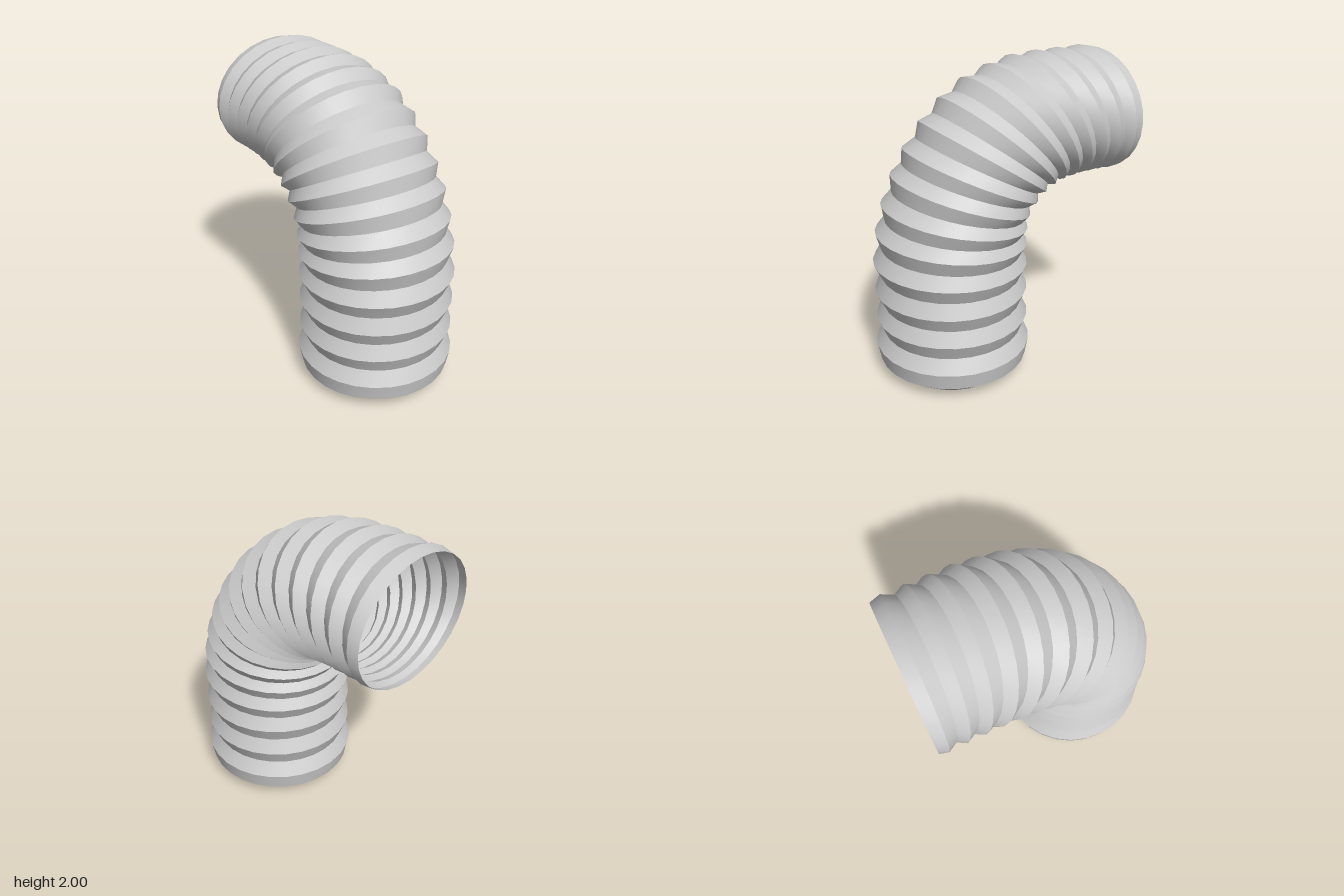
import * as THREE from 'three';
import { toCreasedNormals } from 'three/addons/utils/BufferGeometryUtils.js';

const SIDES = 28;
const lerp = THREE.MathUtils.lerp;

// Ridge ends in the bend plane as [z, y]: outside of the bend, inside of the bend
const RIDGES = [
  [[0.80, 0.19], [-0.20, 0.19]],
  [[0.79, 0.38], [-0.185, 0.38]],
  [[0.79, 0.57], [-0.18, 0.57]],
  [[0.795, 0.77], [-0.18, 0.735]],
  [[0.77, 0.965], [-0.175, 0.87]],
  [[0.72, 1.14], [-0.175, 0.97]],
  [[0.645, 1.32], [-0.185, 1.045]],
  [[0.555, 1.48], [-0.235, 1.11]],
  [[0.435, 1.64], [-0.29, 1.15]],
  [[0.29, 1.775], [-0.345, 1.175]],
  [[0.125, 1.885], [-0.405, 1.19]],
  [[-0.045, 1.95], [-0.475, 1.195]],
  [[-0.21, 1.99], [-0.545, 1.20]],
  [[-0.385, 2.0], [-0.615, 1.20]],
  [[-0.55, 2.0], [-0.69, 1.20]],
  [[-0.72, 2.0], [-0.765, 1.195]],
];

// An elliptical ring: two ends in the bend plane and a half width in x
const ring = (outer, inner, halfWidth) => ({
  outer: new THREE.Vector2(...outer), inner: new THREE.Vector2(...inner), halfWidth,
});

// A valley halfway between two ridges, drawn in toward the axis
function valley(a, b, t) {
  const outer = a.outer.clone().lerp(b.outer, 0.5);
  const inner = a.inner.clone().lerp(b.inner, 0.5);
  const sink = (p, d1, d2, sign, depth) => {
    const along = d2.clone().sub(d1).normalize();
    return p.add(new THREE.Vector2(-along.y, along.x).multiplyScalar(sign * depth));
  };
  sink(outer, a.outer, b.outer, 1, lerp(0.045, 0.027, t));
  sink(inner, a.inner, b.inner, -1, lerp(0.045, 0.015, t));
  return { outer, inner, halfWidth: lerp(0.447, 0.455, t) };
}

// Skin a row of rings
function loft(rings) {
  const pos = [], idx = [];
  for (const r of rings) {
    const c = r.outer.clone().add(r.inner).multiplyScalar(0.5);
    const u = r.outer.clone().sub(c);
    for (let j = 0; j < SIDES; j++) {
      const a = (j / SIDES) * Math.PI * 2;
      pos.push(r.halfWidth * Math.sin(a), c.y + u.y * Math.cos(a), c.x + u.x * Math.cos(a));
    }
  }
  for (let i = 0; i < rings.length - 1; i++) {
    for (let j = 0; j < SIDES; j++) {
      const k = (j + 1) % SIDES;
      const a = i * SIDES + j, b = i * SIDES + k;
      idx.push(a, b, b + SIDES, a, b + SIDES, a + SIDES);
    }
  }
  const g = new THREE.BufferGeometry();
  g.setAttribute('position', new THREE.Float32BufferAttribute(pos, 3));
  g.setIndex(idx);
  return toCreasedNormals(g, 0.35);
}

export function createModel() {
  const group = new THREE.Group();
  const material = new THREE.MeshStandardMaterial({ color: 0xcccccc, side: THREE.DoubleSide });
  const add = (name, geometry) => {
    const mesh = new THREE.Mesh(geometry, material);
    mesh.name = name;
    group.add(mesh);
  };
  const round = (r, y) => ring([0.3 + r, y], [0.3 - r, y], r);

  // Corrugated hose: chamfered foot, ridges and valleys, open end
  const ridges = RIDGES.map(([o, i], n) => ring(o, i, n === 0 ? 0.5 : 0.49));
  const rings = [round(0.37, 0), round(0.48, 0.085)];
  ridges.forEach((r, n) => {
    rings.push(r);
    if (n < ridges.length - 1) rings.push(valley(r, ridges[n + 1], n / (ridges.length - 2)));
  });
  rings.push(ring([-0.805, 1.98], [-0.805, 1.2], 0.472));
  add('corrugatedHose', loft(rings));

  // Smooth sleeve inside the foot
  add('innerSleeve', loft([round(0.37, 0), round(0.37, 0.45)]));
  return group;
}
